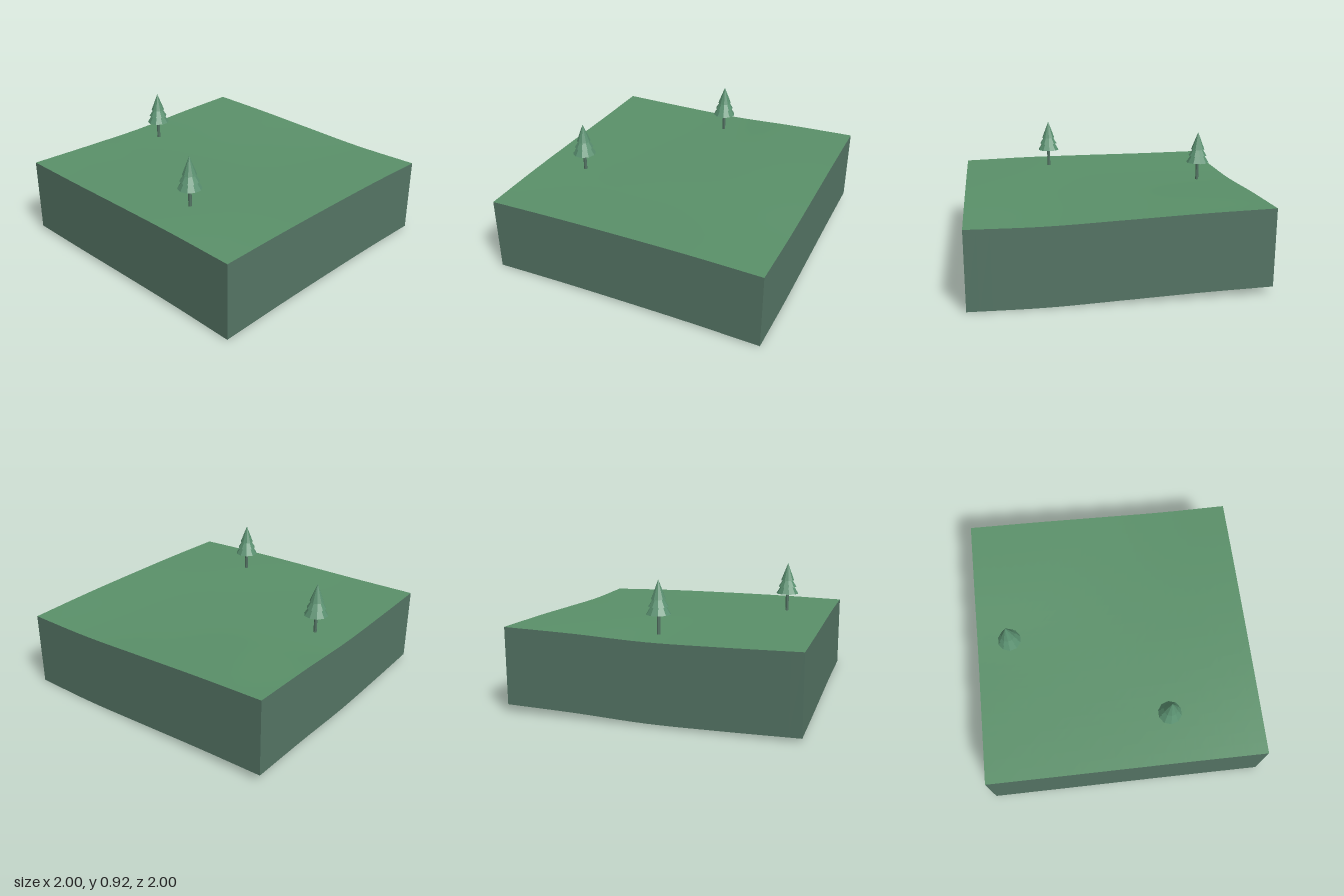
import * as THREE from 'three';

const grass = new THREE.MeshStandardMaterial({ color: 0x5a9069, side: THREE.DoubleSide });
grass.name = 'grassGreen';
const earth = new THREE.MeshStandardMaterial({ color: 0x547464, side: THREE.DoubleSide });
earth.name = 'earthGreen';
const foliage = new THREE.MeshStandardMaterial({ color: 0x5a9070 });
foliage.name = 'foliageGreen';

const SEG = 24;      // terrain subdivisions
const DEPTH = 0.537; // height of the skirt walls

// Ground heights: rows run from z = -1 to 1, columns from x = -1 to 1
const HEIGHTS = [
  [0.588, 0.575, 0.555, 0.537, 0.54],
  [0.574, 0.565, 0.552, 0.545, 0.551],
  [0.552, 0.55, 0.549, 0.549, 0.553],
  [0.553, 0.55, 0.55, 0.552, 0.55],
  [0.56, 0.556, 0.556, 0.553, 0.54],
];

// Smooth curve through five evenly spaced values, t from -1 to 1
function smooth(v, t) {
  const p = (t + 1) * 2, i = Math.min(3, Math.floor(p)), f = p - i;
  const a = v[i], b = v[i + 1];
  const ma = i > 0 ? (b - v[i - 1]) / 2 : b - a;
  const mb = i < 3 ? (v[i + 2] - a) / 2 : b - a;
  const f2 = f * f, f3 = f2 * f;
  return (2 * f3 - 3 * f2 + 1) * a + (f3 - 2 * f2 + f) * ma + (3 * f2 - 2 * f3) * b + (f3 - f2) * mb;
}

const groundHeight = (x, z) => smooth(HEIGHTS.map((row) => smooth(row, x)), z);

function mesh(geometry, material, name) {
  const m = new THREE.Mesh(geometry, material);
  m.name = name;
  return m;
}

// Facets for the low-poly parts
function faceted(geometry) {
  const g = geometry.toNonIndexed();
  g.computeVertexNormals();
  return g;
}

// Gently rolling ground sheet
function makeGround() {
  const g = new THREE.PlaneGeometry(2, 2, SEG, SEG).rotateX(-Math.PI / 2);
  const p = g.attributes.position;
  for (let i = 0; i < p.count; i++) p.setY(i, groundHeight(p.getX(i), p.getZ(i)));
  g.computeVertexNormals();
  return mesh(g, grass, 'ground');
}

// Skirt wall whose top and bottom both follow the ground edge
function makeWall(angle, name) {
  const g = new THREE.PlaneGeometry(2, 2, SEG, 1).translate(0, 0, 1).rotateY(angle);
  const p = g.attributes.position;
  for (let i = 0; i < p.count; i++) {
    const x = THREE.MathUtils.clamp(p.getX(i), -1, 1);
    const z = THREE.MathUtils.clamp(p.getZ(i), -1, 1);
    p.setXYZ(i, x, groundHeight(x, z) - (p.getY(i) < 0 ? DEPTH : 0), z);
  }
  g.computeVertexNormals();
  return mesh(g, earth, name);
}

// Conifer with a thin trunk and three tiers
function makeTree(x, z) {
  const tree = new THREE.Group();
  tree.name = 'tree';
  const base = 0.545;
  const trunk = new THREE.CylinderGeometry(0.012, 0.012, 0.15, 8).translate(0, 0.075, 0);
  const profile = [
    [0, 0.685], [0.084, 0.685], [0.05, 0.74], [0.068, 0.737],
    [0.036, 0.788], [0.05, 0.785], [0, 0.915],
  ].map(([r, y]) => new THREE.Vector2(r, y - base));
  tree.add(
    mesh(faceted(trunk), earth, 'trunk'),
    mesh(faceted(new THREE.LatheGeometry(profile, 10)), foliage, 'foliage'),
  );
  tree.position.set(x, base, z);
  return tree;
}

export function createModel() {
  const model = new THREE.Group();
  model.name = 'terrainBlock';
  model.add(makeGround());
  ['frontWall', 'leftWall', 'backWall', 'rightWall'].forEach((name, i) => {
    model.add(makeWall((i * Math.PI) / 2, name));
  });
  model.add(makeTree(-0.75, 0), makeTree(0.33, 0.665));
  return model;
}
